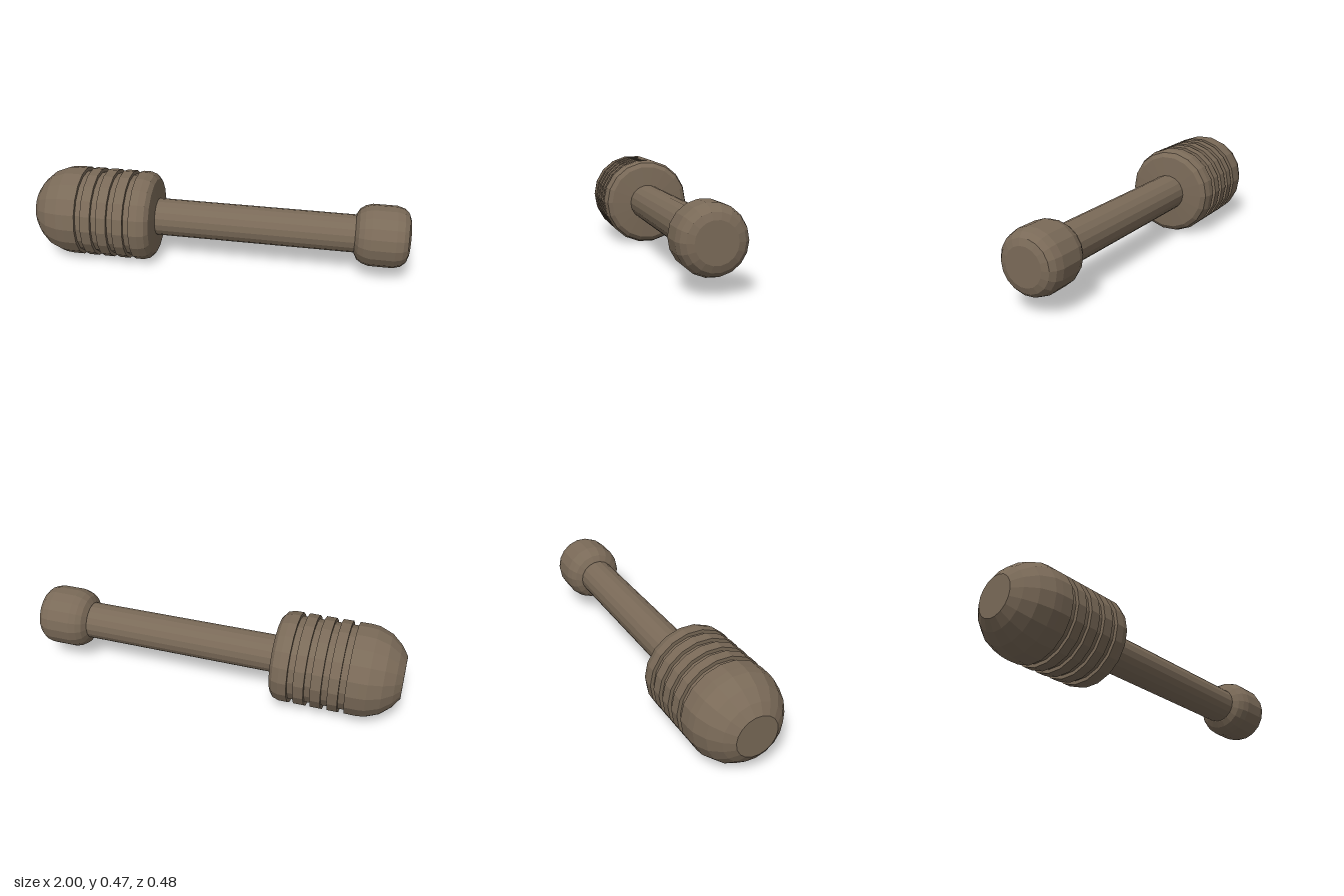
import * as THREE from 'three';

const SIDES = 18;
const AXIS_Y = 0.238;

export function createModel() {
  const model = new THREE.Group();
  model.name = 'dipper';
  const wood = new THREE.MeshStandardMaterial({ color: 0x7a6a58, flatShading: true });

  // Turned part lying along x; profile rows are [x, radius], running left to right
  function turned(name, profile) {
    const points = profile.map(([x, r]) => new THREE.Vector2(r, x));
    const mesh = new THREE.Mesh(new THREE.LatheGeometry(points, SIDES), wood);
    mesh.name = name;
    mesh.rotation.z = -Math.PI / 2;
    mesh.position.y = AXIS_Y;
    model.add(mesh);
  }

  // Grooved head: domed end, four square grooves, rounded shoulder
  const R = 0.241, grooveR = 0.222;
  const head = [[-1, 0], [-1, 0.11], [-0.965, 0.161], [-0.91, 0.209], [-0.84, 0.237], [-0.8, R]];
  for (const x of [-0.738, -0.652, -0.565, -0.477]) {
    head.push([x, R], [x, grooveR], [x + 0.033, grooveR], [x + 0.033, R]);
  }
  head.push([-0.4, R], [-0.365, 0.23], [-0.346, 0.206], [-0.337, 0.1], [-0.337, 0]);
  turned('groovedHead', head);

  // Straight handle
  turned('handle', [[-0.35, 0.1], [0.74, 0.1]]);

  // Rounded knob at the end of the handle
  turned('endKnob', [
    [0.72, 0], [0.72, 0.104], [0.738, 0.135], [0.765, 0.152], [0.8, 0.163],
    [0.925, 0.163], [0.963, 0.152], [0.988, 0.13], [1, 0.097], [1, 0],
  ]);

  return model;
}
